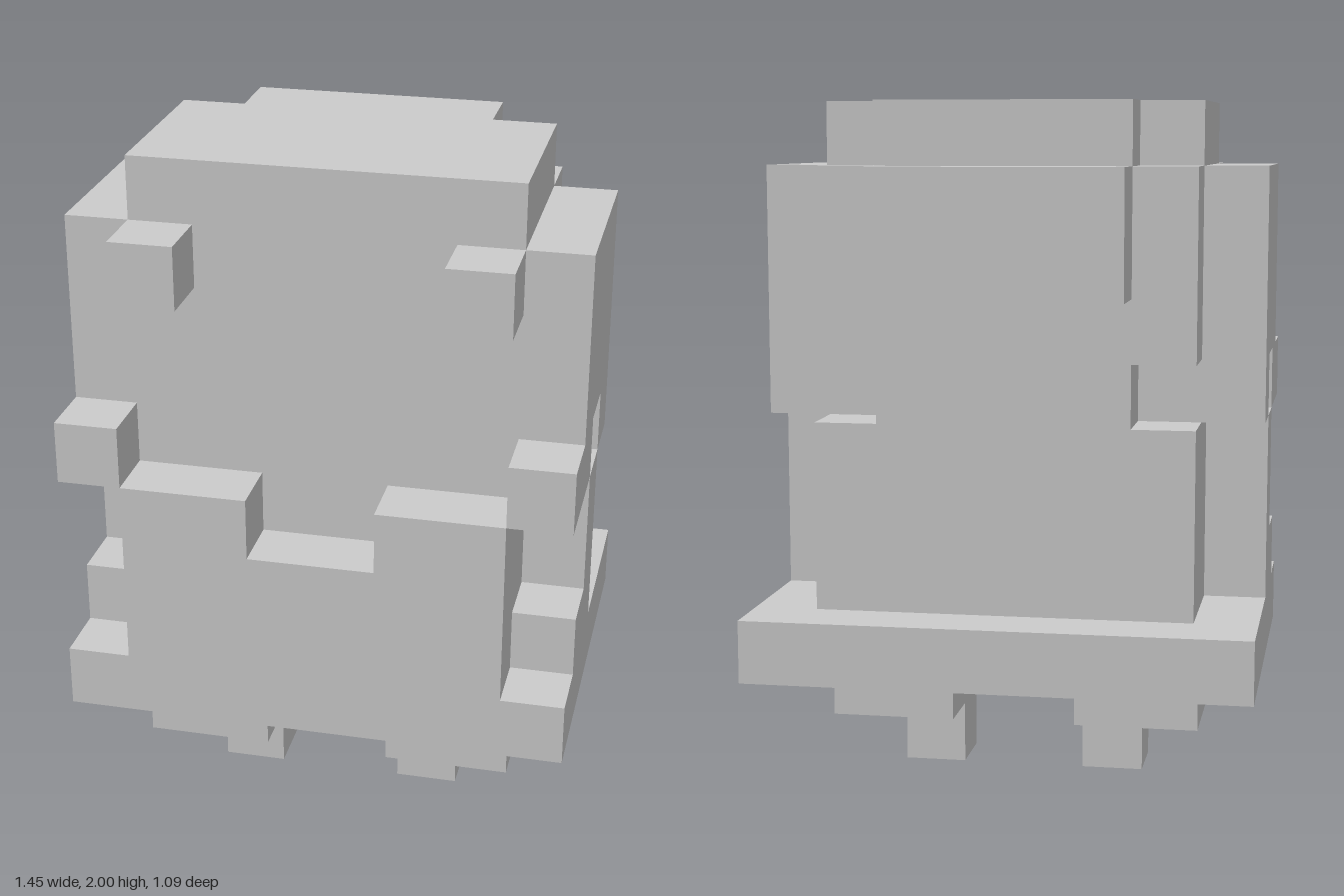
import * as THREE from 'three';

const U = 2 / 11; // one block
const material = new THREE.MeshStandardMaterial({ color: 0xcccccc, flatShading: true });

export function createModel() {
  const model = new THREE.Group();
  model.name = 'blockFigure';

  // Box from its lower and upper corners, counted in blocks
  function block(name, [x0, y0, z0], [x1, y1, z1]) {
    const geometry = new THREE.BoxGeometry((x1 - x0) * U, (y1 - y0) * U, (z1 - z0) * U);
    const mesh = new THREE.Mesh(geometry, material);
    mesh.position.set((x0 + x1) / 2 * U, (y0 + y1) / 2 * U, (z0 + z1) / 2 * U);
    mesh.name = name;
    model.add(mesh);
  }

  // The same box on the left (+x) and right (-x)
  function pair(name, a, b) {
    block('left' + name, a, b);
    block('right' + name, [-b[0], a[1], a[2]], [-a[0], b[1], b[2]]);
  }

  // Legs and feet
  pair('Foot', [1, 0, 0], [2, 1, 1]);
  pair('Leg', [1, 1, -1], [3, 2, 2]);

  // Wide hem and torso, with a notch at the top of the chest
  block('hem', [-4, 2, -3], [4, 3, 3]);
  block('torso', [-3, 3, -2], [3, 6, 2]);
  block('chest', [-3, 3, 2], [3, 5, 3]);
  pair('Collar', [1, 5, 2], [3, 6, 3]);

  // Arms
  pair('Arm', [3, 3, 0], [4, 6, 1]);
  pair('Forearm', [3, 3, 1], [4, 4, 2]);
  pair('Hand', [3, 6, 2], [4, 7, 3]);

  // Head with stepped back corners
  block('head', [-3, 6, -1], [3, 11, 2]);
  block('headBack', [-2, 6, -2], [2, 11, -1]);
  pair('HeadCorner', [2, 7, -2], [3, 10, -1]);
  block('backBun', [-2, 8, -3], [2, 10, -2]);
  pair('Eye', [2, 9, 2], [3, 10, 3]);

  // Side hair, notched above each arm
  pair('SideHair', [3, 7, -1], [4, 10, 2]);
  pair('SideHairFrontTip', [3, 6, 1], [4, 7, 2]);
  pair('SideHairBackTip', [3, 6, -1], [4, 7, 0]);

  return model;
}
